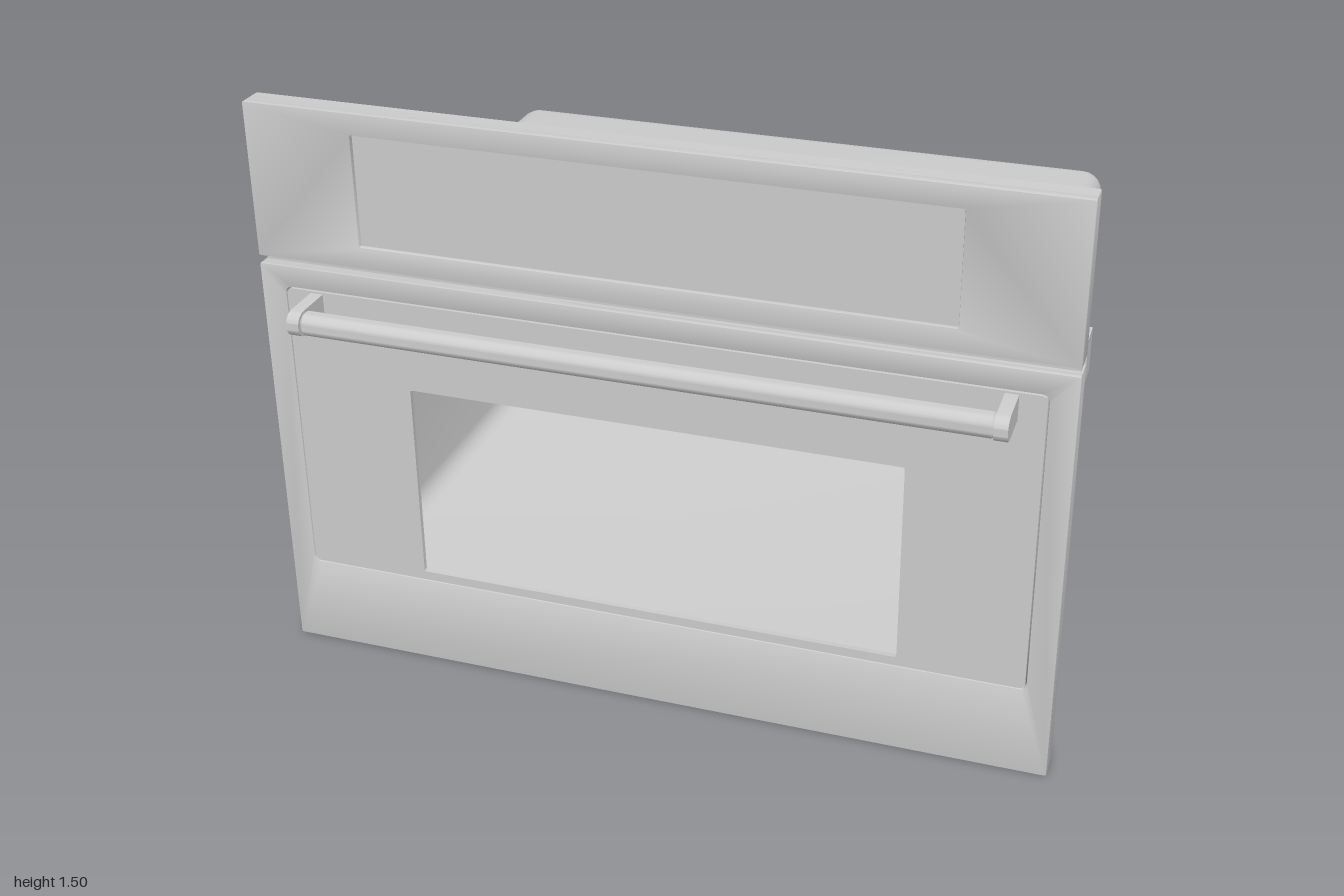
import * as THREE from 'three';
import { toCreasedNormals, mergeVertices } from 'three/addons/utils/BufferGeometryUtils.js';

const grey = new THREE.MeshStandardMaterial({ color: 0xcccccc, side: THREE.DoubleSide });

// Corner points of a rounded rectangle, anticlockwise
function roundRect(x0, x1, y0, y1, r, seg = 4) {
  const pts = [];
  const corners = [[x1 - r, y1 - r], [x0 + r, y1 - r], [x0 + r, y0 + r], [x1 - r, y0 + r]];
  corners.forEach(([cx, cy], c) => {
    for (let i = 0; i <= seg; i++) {
      const a = (c + i / seg) * Math.PI / 2;
      pts.push(new THREE.Vector2(cx + r * Math.cos(a), cy + r * Math.sin(a)));
    }
  });
  return pts;
}

// Flat plate between two depths, with an optional opening
function plate(outer, hole, z0, z1, bevel = 0) {
  const shape = new THREE.Shape(outer);
  if (hole) shape.holes.push(new THREE.Path(hole));
  const g = new THREE.ExtrudeGeometry(shape, {
    depth: z1 - z0 - 2 * bevel, bevelEnabled: bevel > 0,
    bevelSize: bevel, bevelThickness: bevel, bevelOffset: -bevel, bevelSegments: 2,
  });
  return toCreasedNormals(g.translate(0, 0, z0 + bevel), 0.6);
}

// Oven box: rounded sections lofted to a closed back, open at the front
function bodyGeometry() {
  const R = 0.055, steps = 5, sections = [[0.6, 0]];
  for (let i = 0; i <= steps; i++) {
    const a = i / steps * Math.PI / 2;
    sections.push([-0.745 + R * (1 - Math.sin(a)), R * (1 - Math.cos(a))]);
  }
  const pos = [], idx = [];
  let n = 0;
  for (const [z, t] of sections) {
    const ring = roundRect(-0.865 + t, 0.865 - t, 0.15 + t, 1.04 - t, Math.max(R - t, 0.002), 5);
    n = ring.length;
    ring.forEach(p => pos.push(p.x, p.y, z));
  }
  for (let s = 0; s < sections.length - 1; s++) {
    for (let i = 0; i < n; i++) {
      const j = (i + 1) % n, a = s * n + i, b = s * n + j;
      idx.push(a, a + n, b, b, a + n, b + n);
    }
  }
  const last = (sections.length - 1) * n, centre = pos.length / 3;
  pos.push(0, 0.595, -0.745);
  for (let i = 0; i < n; i++) idx.push(last + i, centre, last + (i + 1) % n);
  const g = new THREE.BufferGeometry();
  g.setAttribute('position', new THREE.Float32BufferAttribute(pos, 3));
  g.setIndex(idx);
  return toCreasedNormals(mergeVertices(g), 0.7);
}

export function createModel() {
  const group = new THREE.Group();
  const add = (name, geometry, parent = group) => {
    const m = new THREE.Mesh(geometry, grey);
    m.name = name;
    parent.add(m);
    return m;
  };

  add('ovenBody', bodyGeometry());

  // Lower front frame: face plate with a door opening and a rim folded back
  const frameEdge = roundRect(-1, 1, 0, 1.085, 0.004, 2);
  add('frontFrame', plate(frameEdge, roundRect(-0.935, 0.935, 0.24, 1.03, 0.016), 0.595, 0.617, 0.003));
  add('frontFrameRim', plate(frameEdge, roundRect(-0.994, 0.994, 0.006, 1.079, 0.003, 2), 0.55, 0.612));

  // Door with an open window
  add('door', plate(
    roundRect(-0.932, 0.932, 0.243, 1.027, 0.014),
    roundRect(-0.62, 0.62, 0.267, 0.793, 0.006), 0.604, 0.617));

  // Control panel with a slightly sunken display
  const panelEdge = roundRect(-1, 1, 1.105, 1.5, 0.004, 2);
  add('controlPanel', plate(panelEdge, roundRect(-0.725, 0.725, 1.162, 1.445, 0.003, 2), 0.59, 0.617, 0.003));
  add('controlPanelRim', plate(panelEdge, roundRect(-0.994, 0.994, 1.111, 1.494, 0.003, 2), 0.55, 0.612));
  add('display', new THREE.BoxGeometry(1.46, 0.293, 0.004)).position.set(0, 1.3035, 0.603);

  // Bracket joining the control panel to the body
  const bracket = add('topBracket', new THREE.BoxGeometry(2, 0.105, 0.065));
  bracket.position.set(0, 1.0925, 0.5175);
  add('bracketLip', new THREE.BoxGeometry(1.99, 0.026, 0.04)).position.set(0, 1.096, 0.567);

  // Handle: round bar between two arms with rounded noses
  const handle = new THREE.Group();
  handle.name = 'handle';
  group.add(handle);
  const r = 0.03, tip = 0.006;
  const profile = [[0, -0.838], [r - tip, -0.838], [r, -0.83], [r, 0.83], [r - tip, 0.838], [0, 0.838]]
    .map(([x, y]) => new THREE.Vector2(x, y));
  const bar = add('handleBar', toCreasedNormals(new THREE.LatheGeometry(profile, 24), 0.6), handle);
  bar.rotation.z = Math.PI / 2;
  bar.position.set(0, 0.99, 0.711);

  const arm = new THREE.Shape();
  arm.moveTo(0.61, -0.032);
  arm.lineTo(0.713, -0.032);
  arm.absarc(0.713, 0, 0.032, -Math.PI / 2, Math.PI / 2, false);
  arm.lineTo(0.61, 0.032);
  const armGeometry = toCreasedNormals(
    new THREE.ExtrudeGeometry(arm, { depth: 0.032, bevelEnabled: false, curveSegments: 12 }), 0.6);
  armGeometry.translate(0, 0, -0.016).rotateY(-Math.PI / 2);
  for (const side of [-1, 1]) {
    add(side < 0 ? 'handleArmRight' : 'handleArmLeft', armGeometry, handle).position.set(side * 0.852, 0.99, 0);
  }

  return group;
}
